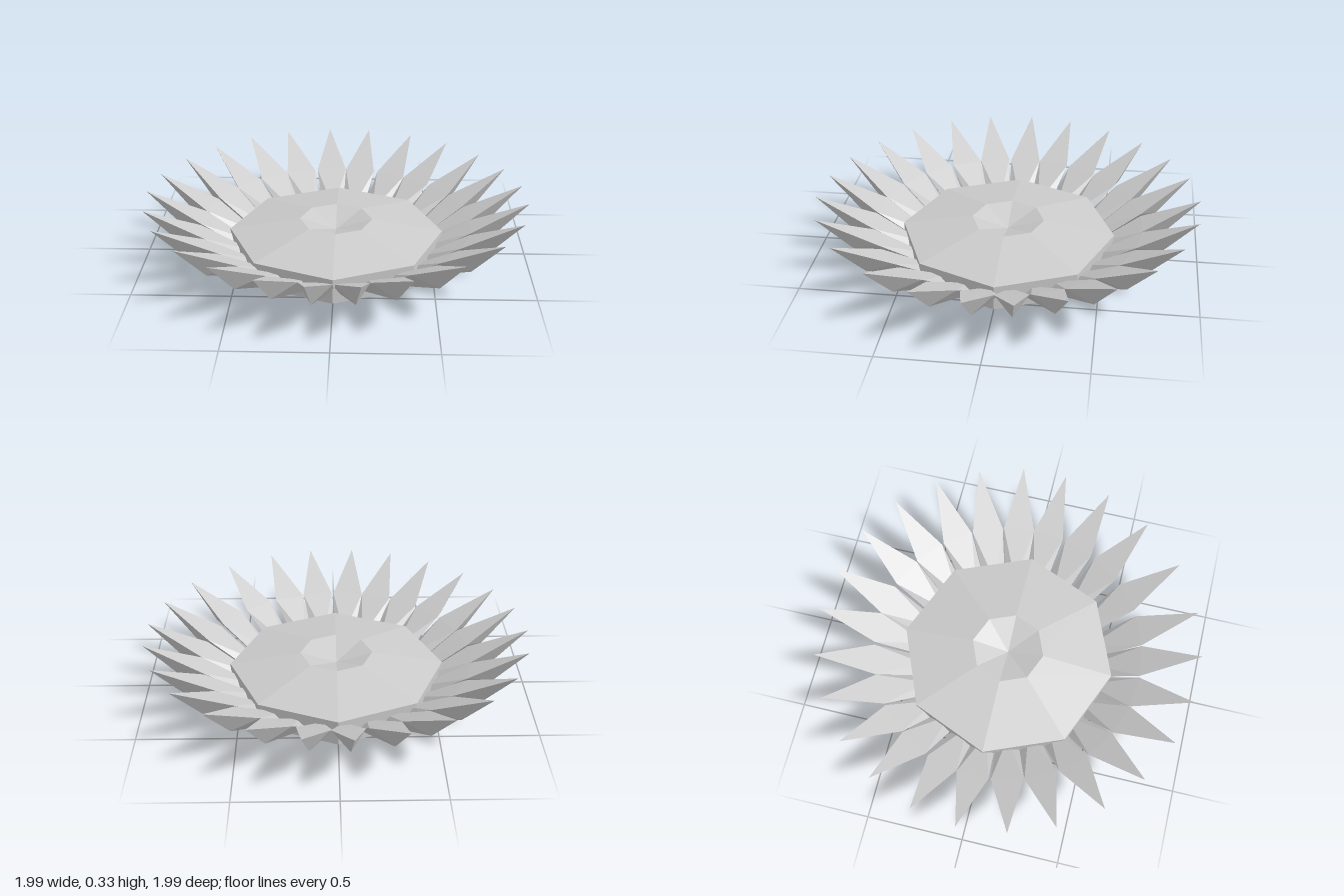
import * as THREE from 'three';
import { ConvexGeometry } from 'three/addons/geometries/ConvexGeometry.js';

const material = new THREE.MeshStandardMaterial({ color: 0xcccccc, flatShading: true });

// Faceted petal pointing along +x: flat top, keel beneath, triangular root
function petalGeometry() {
  const points = [
    [0.997, 0.33, 0], // tip
    [0.70, 0.185, 0.083], [0.70, 0.185, -0.083], // widest points
    [0.82, 0.14, 0], // keel
    [0.45, 0.055, 0], // root, top
    [0.45, 0.015, 0.055], [0.45, 0.015, -0.055], // root, bottom
  ];
  return new ConvexGeometry(points.map((p) => new THREE.Vector3(...p)));
}

export function createModel() {
  const model = new THREE.Group();
  model.name = 'flowerHead';

  // Octagonal disc with a low dome and a dimple in the middle
  const profile = [[0, 0], [0.56, 0], [0.56, 0.13], [0.19, 0.195], [0, 0.135]];
  const disc = new THREE.Mesh(
    new THREE.LatheGeometry(profile.map((p) => new THREE.Vector2(...p)), 8), material);
  disc.name = 'centreDisc';
  model.add(disc);

  // Ring of petals, slightly unevenly spaced (degrees from +x towards +z)
  const angles = [4.9, 19.7, 35.2, 51.7, 68.1, 82, 96.4, 110, 124.1, 138.3, 152.9, 166.7, 181.2,
    194.9, 209.6, 223.5, 237.8, 251.5, 266.3, 279.9, 295, 308.9, 323.3, 337.3, 351.4];
  const petals = new THREE.Group();
  petals.name = 'petals';
  const geometry = petalGeometry();
  angles.forEach((angle, i) => {
    const petal = new THREE.Mesh(geometry, material);
    petal.name = `petal${i + 1}`;
    petal.rotation.y = -THREE.MathUtils.degToRad(angle);
    petals.add(petal);
  });
  model.add(petals);
  return model;
}
